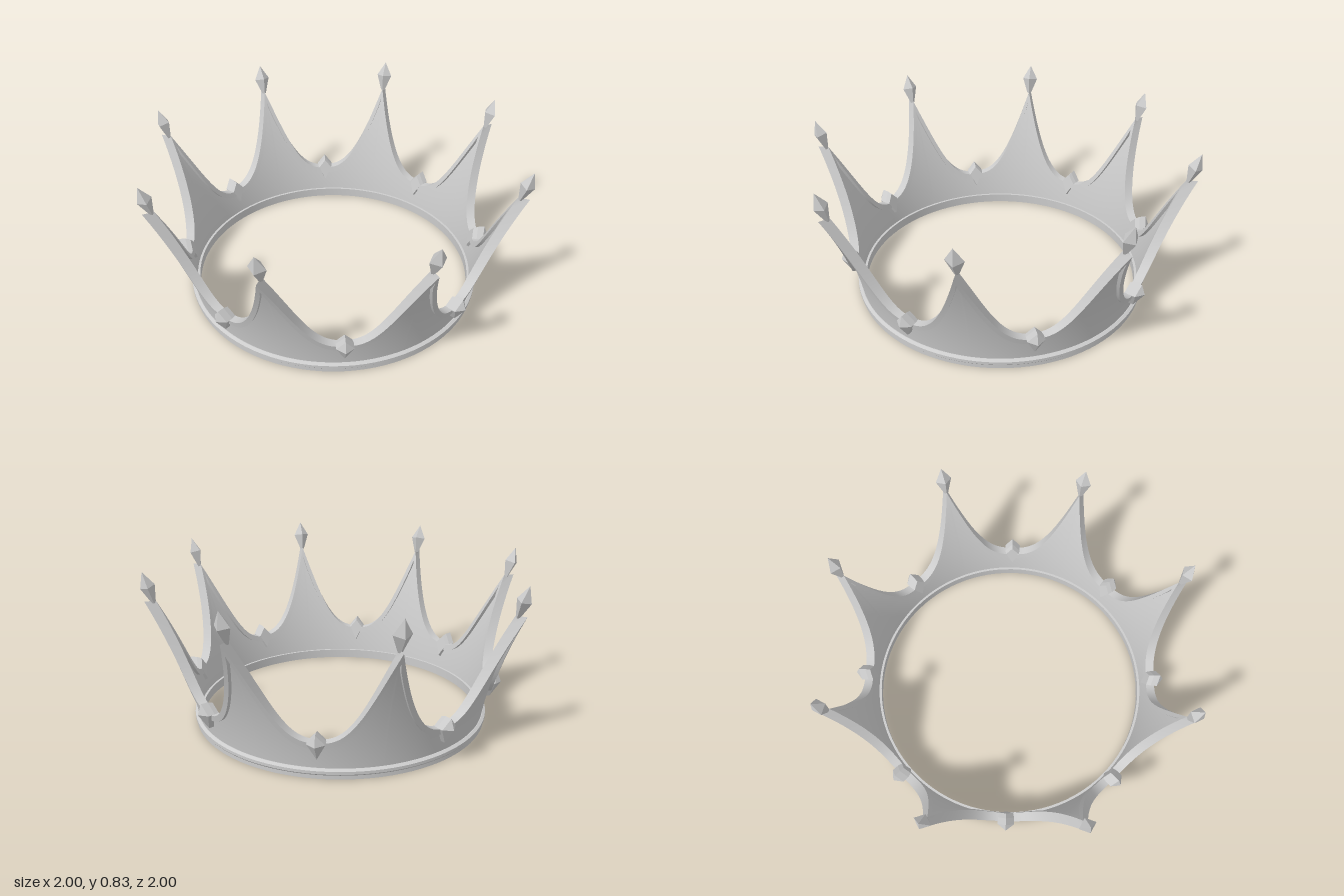
import * as THREE from 'three';
import { toCreasedNormals } from 'three/addons/utils/BufferGeometryUtils.js';

const SPIKES = 8;
const HALF = Math.PI / SPIKES; // angle from a valley to the next spike
const { lerp, clamp } = THREE.MathUtils;

// Radius of the flared band at height y
const flare = (y) => 0.754 + 0.19 * (y - 0.04) + 0.28 * (y - 0.04) * (y - 0.21);

// Point at an angle around the crown, measured from +z
const polar = (angle, radius, y) => [Math.sin(angle) * radius, y, Math.cos(angle) * radius];

// Skin a row of closed rings, open at both ends
function loft(rings) {
  const n = rings[0].length;
  const index = [];
  for (let i = 0; i < rings.length - 1; i++) {
    for (let j = 0; j < n; j++) {
      const a = i * n + j;
      const b = i * n + ((j + 1) % n);
      index.push(a, b, b + n, a, b + n, a + n);
    }
  }
  const geometry = new THREE.BufferGeometry();
  geometry.setAttribute('position', new THREE.Float32BufferAttribute(rings.flat(2), 3));
  geometry.setIndex(index);
  return toCreasedNormals(geometry, 0.6);
}

// Scalloped edge from spike to spike: upper line p and lower line q of the trim
function scallop() {
  const stations = [];
  const steps = 48, low = 0.195, rise = 0.485, power = 2.6;
  for (let i = 0; i <= steps; i++) {
    const u = (i / steps) * 2 - 1;
    const v = Math.abs(u);
    const y = low + rise * v ** power;
    const slope = (Math.sign(u) * rise * power * v ** (power - 1)) / (HALF * flare(y));
    const len = Math.hypot(1, slope);
    const width = lerp(0.033, 0.02, v);
    const angle = u * HALF;
    const inner = angle + (width * slope) / len / flare(y);
    stations.push({
      p: { angle, y },
      q: { angle: clamp(inner, -HALF, HALF), y: y - width / len },
      half: lerp(0.021, 0.028, v),
    });
  }
  return stations;
}

// Four-cornered trim section between two edge points
const trimSection = ({ p, q, half }) => [
  polar(p.angle, flare(p.y) + half, p.y),
  polar(q.angle, flare(q.y) + half, q.y),
  polar(q.angle, flare(q.y) - half, q.y),
  polar(p.angle, flare(p.y) - half, p.y),
];

// Thin upright wall section from the trim down into the base ring
function wallSection({ q }) {
  const outer = [], inner = [];
  const rows = 10;
  for (let k = 0; k <= rows; k++) {
    const y = lerp(q.y + 0.004, 0.03, k / rows);
    outer.push(polar(q.angle, flare(y) + 0.007, y));
    inner.unshift(polar(q.angle, flare(y) - 0.007, y));
  }
  return [...outer, ...inner];
}

// Diamond gem straddling the trim: flat back, raised outer point
function gemGeometry() {
  const ring = (z, s) => [[0, 0.052], [-0.043, 0], [0, -0.085], [0.043, 0]]
    .map(([x, y]) => [x * s, 0.197 + y * s, z + y * s * 0.25]);
  return loft([ring(0.761, 0.01), ring(0.761, 0.85), ring(0.785, 1), ring(0.82, 1), ring(0.853, 0.01)]);
}

export function createModel() {
  const crown = new THREE.Group();
  crown.name = 'crown';
  const smooth = new THREE.MeshStandardMaterial({ color: 0xcccccc });
  const faceted = new THREE.MeshStandardMaterial({ color: 0xcccccc, flatShading: true });

  const add = (name, geometry, material, angle = 0) => {
    const mesh = new THREE.Mesh(geometry, material);
    mesh.name = name;
    mesh.rotation.y = angle;
    crown.add(mesh);
  };

  // Base ring with a slim lip
  const baseProfile = [
    [0.736, 0], [0.774, 0], [0.774, 0.02], [0.78, 0.027],
    [0.78, 0.042], [0.766, 0.05], [0.736, 0.05], [0.736, 0],
  ].map(([r, y]) => new THREE.Vector2(r, y));
  add('baseRing', toCreasedNormals(new THREE.LatheGeometry(baseProfile, 96), 0.4), smooth);

  // Wall panel and trim arc, each running from spike to spike
  const edge = scallop();
  const trim = loft(edge.map(trimSection));
  // At each spike keep only the topmost of the stations that share its angle
  const atSpike = ({ q }) => Math.abs(q.angle) > HALF - 1e-6;
  const first = edge.findIndex((s) => !atSpike(s));
  const wall = loft(edge.slice(first - 1, edge.length - first + 1).map(wallSection));
  const gem = gemGeometry();

  // Four-sided finial leaning outward on a spike tip
  const finialProfile = [[0, 0], [0.011, 0], [0.043, 0.088], [0, 0.165]]
    .map(([r, y]) => new THREE.Vector2(r, y));
  const finial = new THREE.LatheGeometry(finialProfile, 4);
  finial.scale(1, 1, 0.85);
  finial.rotateX(0.28);
  finial.translate(0, 0.67, 0.942);

  for (let i = 0; i < SPIKES; i++) {
    const spike = i * 2 * HALF;
    const valley = spike + HALF;
    add('wallPanel', wall, smooth, valley);
    add('scallopTrim', trim, smooth, valley);
    add('valleyGem', gem, faceted, valley);
    add('spikeFinial', finial, faceted, spike);
  }
  return crown;
}
